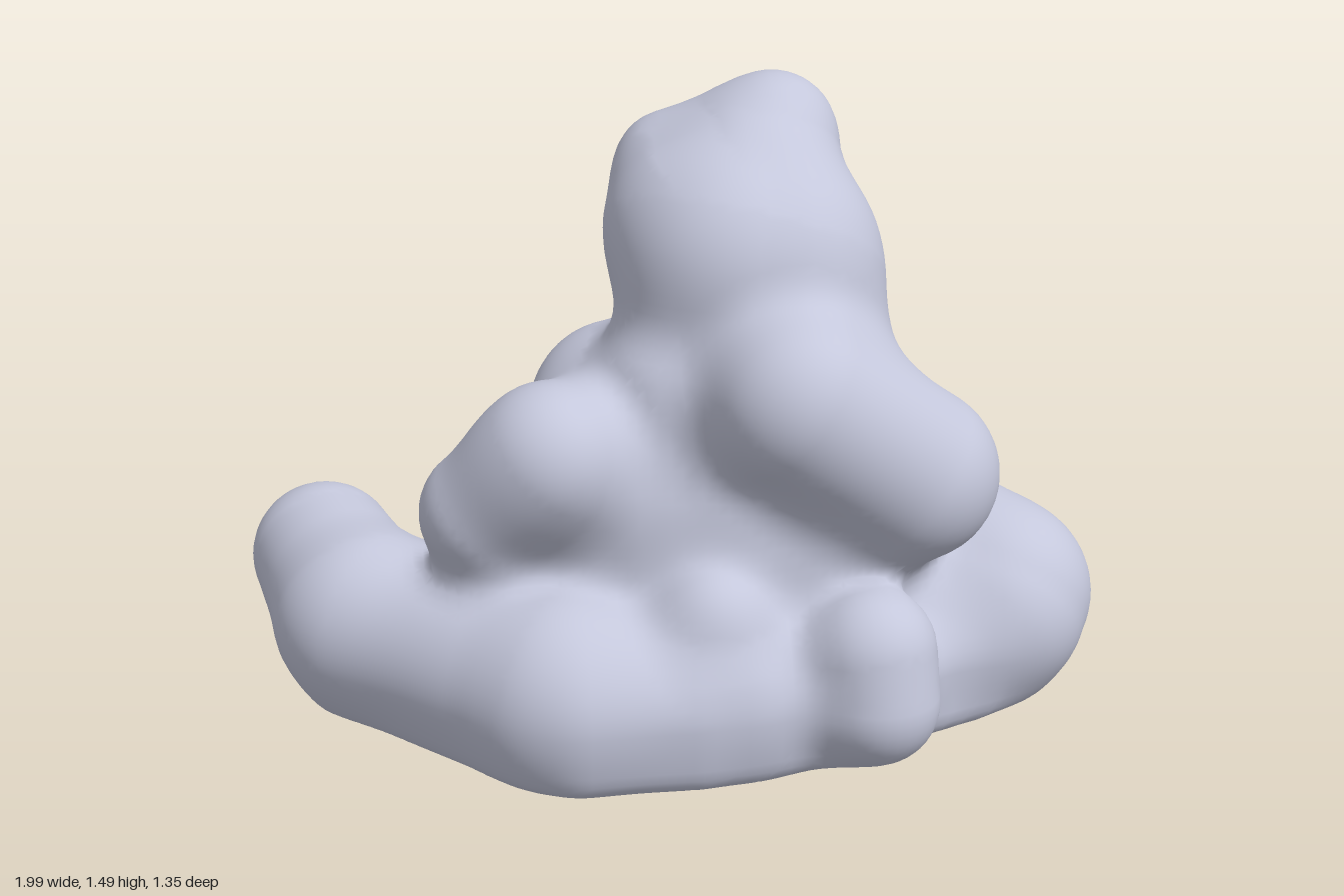
import * as THREE from 'three';

// Each blob is a tapered capsule: [x, y, z, radius,  x, y, z, radius]
const PARTS = {
  base: [
    [-0.82, 0.305, -0.19, 0.175, -0.74, 0.25, 0.05, 0.20], // raised lobe on the right
    [-0.69, 0.23, 0.10, 0.195, -0.30, 0.20, 0.41, 0.22],   // front right rim
    [-0.25, 0.19, 0.42, 0.215, 0.10, 0.19, 0.42, 0.20],    // front rim
    [-0.35, 0.28, 0.18, 0.20, 0.15, 0.30, 0.26, 0.22],     // slope behind the rim
    [0.40, 0.30, 0.505, 0.15, 0.41, 0.19, 0.53, 0.145],    // front bump
    [0.05, 0.38, 0.45, 0.115, 0.05, 0.30, 0.44, 0.13],     // small front knob
    [0.78, 0.27, 0.13, 0.215, 0.76, 0.24, 0.16, 0.215],    // left lobe
    [0.74, 0.27, 0.10, 0.19, 0.63, 0.37, 0.00, 0.19],      // hump behind it
    [-0.40, 0.20, 0.00, 0.22, 0.50, 0.20, 0.10, 0.27],     // core
    [-0.10, 0.15, -0.31, 0.20, 0.30, 0.15, -0.31, 0.20],   // back rim
  ],
  backFeet: [
    [0.415, 0.155, -0.53, 0.117, 0.39, 0.16, -0.32, 0.155],
    [0.39, 0.27, -0.06, 0.225, 0.37, 0.14, -0.36, 0.15],
    [-0.15, 0.15, -0.56, 0.117, -0.15, 0.16, -0.40, 0.14],
    [-0.13, 0.345, -0.375, 0.122, -0.37, 0.24, -0.28, 0.16],
  ],
  body: [
    [-0.18, 0.48, 0.12, 0.24, 0.30, 0.45, 0.14, 0.28],     // lower mound
    [-0.10, 0.60, 0.19, 0.23, 0.25, 0.62, 0.20, 0.23],     // belly
    [0.00, 0.83, 0.20, 0.19, 0.27, 0.85, 0.20, 0.225],     // chest
    [0.24, 0.50, 0.11, 0.32, 0.17, 1.05, 0.08, 0.27],      // column
    [-0.14, 0.70, 0.03, 0.19, 0.10, 0.75, 0.10, 0.27],     // right shoulder
    [-0.12, 0.73, -0.085, 0.165, -0.01, 0.73, -0.075, 0.168], // back bulge
  ],
  head: [
    [0.12, 1.12, 0.12, 0.247, 0.21, 1.10, 0.105, 0.257],   // dome
    [0.18, 1.12, 0.05, 0.25, 0.25, 1.345, -0.075, 0.13],   // peak
    [0.06, 1.19, 0.00, 0.195, 0.19, 1.28, 0.00, 0.155],    // crown
    [0.25, 1.345, -0.10, 0.12, 0.02, 1.27, -0.14, 0.125],  // ridge behind
  ],
  leftArm: [[0.24, 0.865, 0.405, 0.197, 0.51, 0.665, 0.35, 0.20]],
  rightArm: [
    [-0.30, 0.73, 0.335, 0.15, -0.44, 0.57, 0.25, 0.155],
    [-0.30, 0.71, 0.30, 0.15, -0.15, 0.65, 0.17, 0.20],
  ],
};
const NAMES = Object.keys(PARTS);
const BLOBS = NAMES.flatMap((name, part) => PARTS[name].map((b) => ({ b, part })));
const BLEND = 0.1;

// Footprint of the rounded slab under everything: [x, z]
const FOOTPRINT = [
  [-0.74, 0.08], [-0.40, 0.42], [-0.24, 0.54], [0, 0.54], [0.30, 0.47], [0.66, 0.28],
  [0.80, 0.13], [0.66, -0.05], [0.52, -0.12], [0.40, -0.38], [0.02, -0.42],
  [-0.28, -0.38], [-0.45, -0.29], [-0.56, -0.12], [-0.74, -0.10],
];

function footprintDistance(x, z) {
  let nearest = 10, sign = 1;
  FOOTPRINT.forEach(([ax, az], i) => {
    const [bx, bz] = FOOTPRINT[(i + 1) % FOOTPRINT.length];
    const dx = bx - ax, dz = bz - az;
    const along = ((x - ax) * dx + (z - az) * dz) / (dx * dx + dz * dz);
    const t = Math.min(1, Math.max(0, along));
    nearest = Math.min(nearest, Math.hypot(x - ax - dx * t, z - az - dz * t));
    if ((az > z) !== (bz > z) && x < ax + dx * (z - az) / dz) sign = -sign;
  });
  return sign * nearest;
}

function slabDistance(x, y, z) {
  const across = footprintDistance(x, z), up = Math.abs(y - 0.14) - 0.05;
  return Math.hypot(Math.max(across, 0), Math.max(up, 0)) + Math.min(Math.max(across, up), 0) - 0.085;
}

function blobDistance([ax, ay, az, ra, bx, by, bz, rb], x, y, z) {
  const dx = bx - ax, dy = by - ay, dz = bz - az;
  const along = ((x - ax) * dx + (y - ay) * dy + (z - az) * dz) / (dx * dx + dy * dy + dz * dz);
  const t = Math.min(1, Math.max(0, along));
  return Math.hypot(x - ax - dx * t, y - ay - dy * t, z - az - dz * t) - ra - (rb - ra) * t;
}

function smoothMin(a, b, k) {
  const h = Math.max(k - Math.abs(a - b), 0) / k;
  return Math.min(a, b) - h * h * k / 4;
}

// Slab and blobs melted together, with a flat underside
function field(x, y, z) {
  let d = slabDistance(x, y, z);
  for (const { b } of BLOBS) d = smoothMin(d, blobDistance(b, x, y, z), BLEND);
  return -smoothMin(-d, y - 0.005, 0.05);
}

function gradient([x, y, z]) {
  const e = 0.004;
  return new THREE.Vector3(
    field(x + e, y, z) - field(x - e, y, z),
    field(x, y + e, z) - field(x, y - e, z),
    field(x, y, z + e) - field(x, y, z - e),
  ).normalize();
}

function nearestPart(x, y, z) {
  let best = slabDistance(x, y, z), part = 0;
  for (const blob of BLOBS) {
    const d = blobDistance(blob.b, x, y, z);
    if (d < best) { best = d; part = blob.part; }
  }
  return part;
}

// Skin the field with one vertex per surface cell
function buildSkin() {
  const step = 0.025, low = [-1.1, -0.1, -0.8], size = [89, 69, 65];
  const stride = [1, size[0], size[0] * size[1]];
  const values = new Float32Array(size[0] * size[1] * size[2]);
  const cells = new Int32Array(values.length).fill(-1);
  const positions = [], normals = [], indices = NAMES.map(() => []);
  const eachPoint = (from, visit) => {
    for (let k = from; k < size[2] - from; k++)
      for (let j = from; j < size[1] - from; j++)
        for (let i = from; i < size[0] - from; i++)
          visit([i, j, k], i + j * stride[1] + k * stride[2]);
  };
  eachPoint(0, (g, id) => {
    values[id] = field(...g.map((n, a) => low[a] + n * step));
  });

  // Vertices: average of the edge crossings, then pulled onto the surface
  eachPoint(1, (g, id) => {
    const sum = [0, 0, 0];
    let count = 0;
    for (let corner = 0; corner < 8; corner++) {
      const bits = [corner & 1, (corner >> 1) & 1, corner >> 2];
      const start = id + bits[0] + bits[1] * stride[1] + bits[2] * stride[2];
      for (let a = 0; a < 3; a++) {
        if (bits[a]) continue;
        const v0 = values[start], v1 = values[start + stride[a]];
        if ((v0 < 0) === (v1 < 0)) continue;
        for (let c = 0; c < 3; c++) sum[c] += bits[c] + (c === a ? v0 / (v0 - v1) : 0);
        count++;
      }
    }
    if (!count) return;
    const p = g.map((n, a) => low[a] + (n + sum[a] / count) * step);
    const pull = gradient(p), d = field(...p);
    const q = [p[0] - pull.x * d, p[1] - pull.y * d, p[2] - pull.z * d];
    cells[id] = positions.length / 3;
    positions.push(...q);
    normals.push(...gradient(q).toArray());
  });

  // One quad around every grid edge that crosses the surface
  eachPoint(2, (g, id) => {
    for (let a = 0; a < 3; a++) {
      const inside = values[id] < 0;
      if (inside === values[id + stride[a]] < 0) continue;
      const b = stride[(a + 1) % 3], c = stride[(a + 2) % 3];
      const quad = [id - b - c, id - c, id, id - b].map((n) => cells[n]);
      if (!inside) quad.reverse();
      const [p, q, r, s] = quad;
      const part = nearestPart(...positions.slice(p * 3, p * 3 + 3));
      indices[part].push(p, q, r, p, r, s);
    }
  });
  return { positions, normals, indices };
}

export function createModel() {
  const group = new THREE.Group();
  group.name = 'blobFigure';
  const clay = new THREE.MeshStandardMaterial({ color: 0xc4c7db });
  clay.name = 'greyClay';
  const { positions, normals, indices } = buildSkin();
  const position = new THREE.Float32BufferAttribute(positions, 3);
  const normal = new THREE.Float32BufferAttribute(normals, 3);

  // Parts share the same vertices, so the seams stay smooth
  NAMES.forEach((name, part) => {
    const geometry = new THREE.BufferGeometry();
    geometry.setAttribute('position', position);
    geometry.setAttribute('normal', normal);
    geometry.setIndex(indices[part]);
    const mesh = new THREE.Mesh(geometry, clay);
    mesh.name = name;
    group.add(mesh);
  });
  return group;
}
